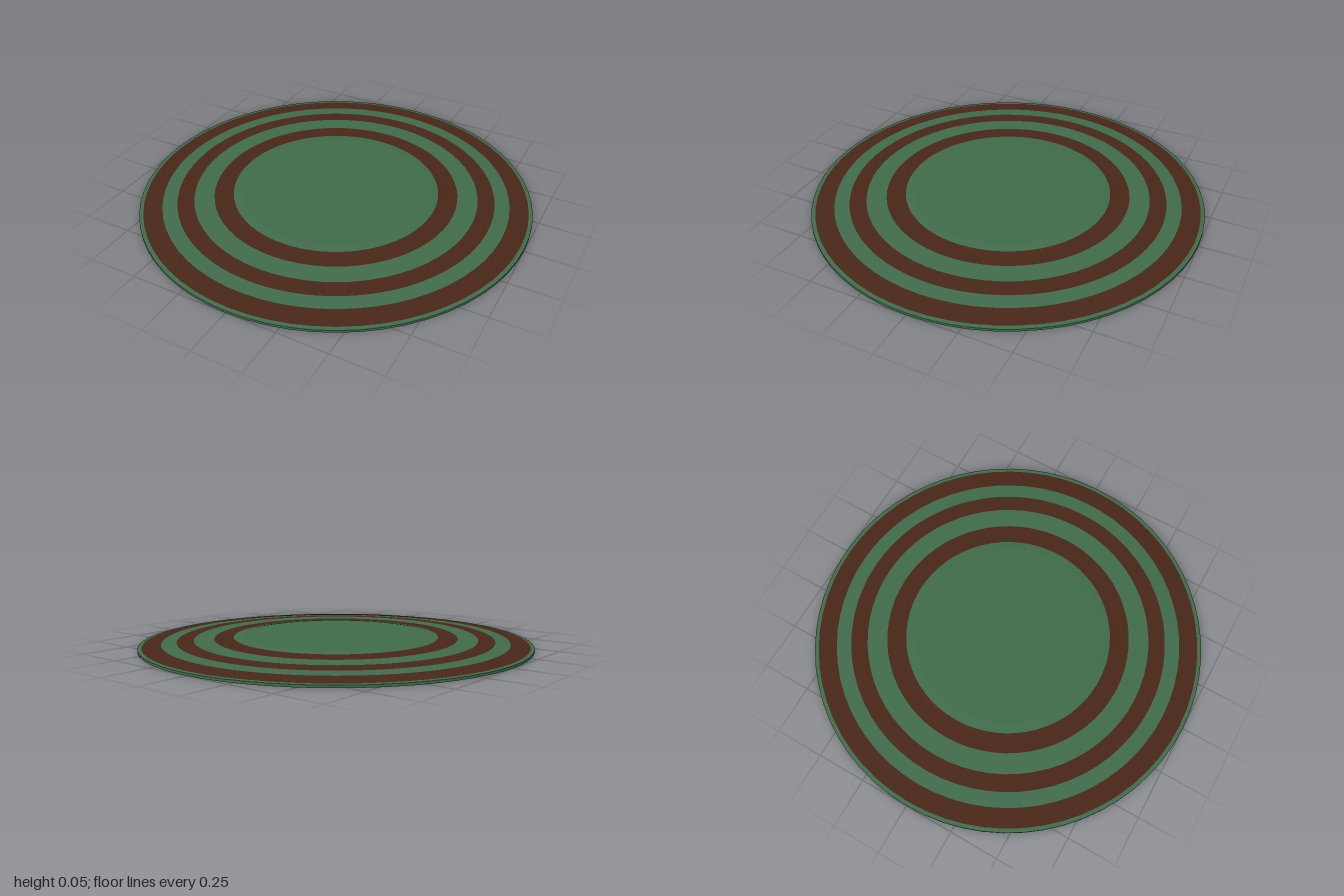
import * as THREE from 'three';
import { mergeGeometries } from 'three/addons/utils/BufferGeometryUtils.js';

const SEGMENTS = 64;
const THICKNESS = 0.012;

// Upper surface as [radius, height], from the centre to the rim
const profile = [
  [0, 0.048], [0.48, 0.048], [0.525, 0.042], [0.55, 0.038], [0.623, 0.037], [0.725, 0.034],
  [0.81, 0.029], [0.885, 0.024], [0.98, 0.014], [1, 0.012],
];

const green = new THREE.MeshStandardMaterial({ color: 0x3f6b4a });
const brown = new THREE.MeshStandardMaterial({ color: 0x482618 });

// Straight piece of the cross-section turned around the y axis
function turn(a, b) {
  return new THREE.LatheGeometry([new THREE.Vector2(...a), new THREE.Vector2(...b)], SEGMENTS);
}

// Upper and lower skin of one coloured band; the last band also closes the rim
function band(name, first, last, material) {
  const pieces = [];
  const under = ([r, y]) => [r, y - THICKNESS];
  for (let i = first; i < last; i++) {
    pieces.push(turn(profile[i + 1], profile[i]));
    pieces.push(turn(under(profile[i]), under(profile[i + 1])));
  }
  if (last === profile.length - 1) pieces.push(turn(under(profile[last]), profile[last]));
  const mesh = new THREE.Mesh(mergeGeometries(pieces), material);
  mesh.name = name;
  return mesh;
}

export function createModel() {
  const model = new THREE.Group();
  model.name = 'shallowDisc';
  model.add(
    band('raisedCentre', 0, 2, green),
    band('innerBrownRing', 2, 4, brown),
    band('innerGreenRing', 4, 5, green),
    band('middleBrownRing', 5, 6, brown),
    band('outerGreenRing', 6, 7, green),
    band('outerBrownRing', 7, 8, brown),
    band('rim', 8, 9, green),
  );
  return model;
}
